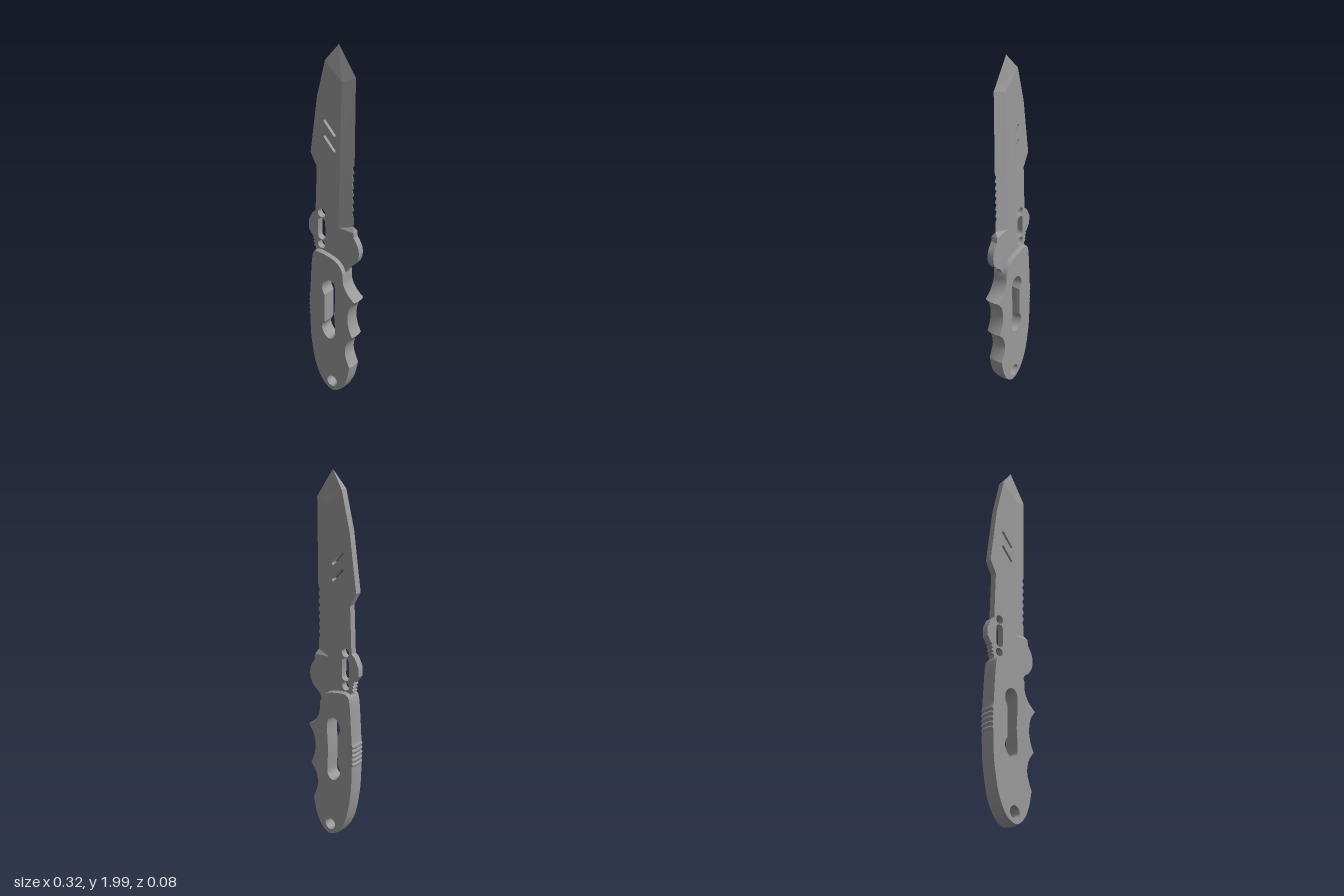
import * as THREE from 'three';
import { toCreasedNormals } from 'three/addons/utils/BufferGeometryUtils.js';

const T = 0.018; // half thickness of the blade
const material = new THREE.MeshStandardMaterial({ color: 0x9a9a9a });
const vec = (points) => points.map(([x, y]) => new THREE.Vector2(x, y));
const curve = (points, n = 24) => new THREE.SplineCurve(vec(points)).getPoints(n).map((p) => [p.x, p.y]);

function addMesh(group, name, geometry) {
  const mesh = new THREE.Mesh(geometry, material);
  mesh.name = name;
  group.add(mesh);
}

function circle(x, y, r) {
  return new THREE.Path().absarc(x, y, r, 0, Math.PI * 2, true);
}

// Rounded slot between two points
function slot(x1, y1, x2, y2, r) {
  const a = Math.atan2(y2 - y1, x2 - x1);
  return new THREE.Path()
    .absarc(x1, y1, r, a + Math.PI / 2, a + Math.PI * 1.5, false)
    .absarc(x2, y2, r, a - Math.PI / 2, a + Math.PI / 2, false);
}

// Row of small grip teeth running from one point to another
function teeth(x1, y1, x2, y2, count, depth) {
  const points = [];
  for (let i = 0; i < count; i++) {
    for (const [f, d] of [[0, 0], [0.3, 1], [0.6, 1], [0.9, 0]]) {
      const t = (i + f) / count;
      points.push([x1 + (x2 - x1) * t - d * depth, y1 + (y2 - y1) * t]);
    }
  }
  return points;
}

// Flat part of the blade with its shoulder and tang
function bladeBody() {
  const shape = new THREE.Shape(vec([
    [-0.05, 1.91], [-0.1, 1.71], [-0.143, 1.4], [-0.105, 1.33], [-0.115, 1.075],
    [-0.135, 1.06], [-0.16, 1.01], [-0.16, 0.96], [-0.135, 0.925],
    ...teeth(-0.125, 0.92, -0.115, 0.86, 3, 0.009),
    [-0.1, 0.72], [0.06, 0.72],
    ...curve([[0.08, 0.775], [0.1, 0.812], [0.13, 0.835], [0.153, 0.87], [0.16, 0.91], [0.152, 0.95], [0.127, 0.99]], 20),
    [0.124, 1.02], [0.03, 1.02], [0.03, 1.025], [0.05, 1.82],
  ]));
  shape.holes.push(
    slot(-0.053, 1.593, 0.005, 1.53, 0.008),
    slot(-0.053, 1.508, 0.005, 1.445, 0.008),
    circle(-0.076, 1.073, 0.024),
    slot(-0.076, 1.022, -0.076, 0.942, 0.023),
    circle(-0.078, 0.89, 0.023),
  );
  const geometry = new THREE.ExtrudeGeometry(shape, { depth: 2 * T, bevelEnabled: false, curveSegments: 12 });
  return toCreasedNormals(geometry.translate(0, 0, -T), 0.5);
}

// Ground wedge: rows of inner point, outer point and outer half thickness
function bladeEdge() {
  const rows = [[0.03, 1.02, 0.124, 1.02, T], [0.03, 1.025, 0.114, 1.045, 0]];
  const addRow = (y, notch) => {
    const f = (y - 1.045) / (1.85 - 1.045);
    rows.push([0.03 + 0.02 * f, 1.025 + 0.795 * f, 0.114 + 0.006 * f - notch, y, (T * notch) / 0.08]);
  };
  const count = 7, steps = 8;
  for (let i = 0; i <= count * steps; i++) {
    addRow(1.1 + (0.29 * i) / (count * steps), 0.006 * (1 - Math.cos((2 * Math.PI * i) / steps)));
  }
  addRow(1.85, 0);
  rows.push([-0.05, 1.91, 0.02, 2, 0]);

  const positions = [];
  const quad = (a, b, c, d) => positions.push(...a, ...b, ...c, ...a, ...c, ...d);
  const corners = ([ix, iy, ox, oy, t]) => [[ix, iy, T], [ox, oy, t], [ox, oy, -t], [ix, iy, -T]];
  for (let i = 0; i < rows.length - 1; i++) {
    const a = corners(rows[i]), b = corners(rows[i + 1]);
    for (let k = 0; k < 3; k++) quad(a[k], a[k + 1], b[k + 1], b[k]);
  }
  quad(...corners(rows[rows.length - 1])); // spine of the tip
  const geometry = new THREE.BufferGeometry();
  geometry.setAttribute('position', new THREE.Float32BufferAttribute(positions, 3));
  geometry.computeVertexNormals();
  return geometry;
}

// Handle outline with finger grooves, keyhole slot and lanyard hole
function handleShape() {
  const shape = new THREE.Shape(vec([
    ...curve([[0.08, 0.74], [0.086, 0.705], [0.112, 0.66], [0.157, 0.622]], 10),
    ...curve([[0.157, 0.622], [0.124, 0.575], [0.112, 0.51], [0.121, 0.45], [0.143, 0.4]], 14).slice(1),
    ...curve([[0.143, 0.4], [0.108, 0.35], [0.096, 0.29], [0.109, 0.24], [0.126, 0.2]], 14).slice(1),
    ...curve([[0.126, 0.2], [0.106, 0.11], [0.069, 0.04], [0.012, 0.006], [-0.053, 0.04],
      [-0.105, 0.135], [-0.135, 0.28], [-0.143, 0.39], [-0.144, 0.44]], 32).slice(1),
    ...teeth(-0.144, 0.58, -0.144, 0.45, 5, 0.005).reverse(),
    ...curve([[-0.142, 0.6], [-0.134, 0.73], [-0.126, 0.815], [-0.112, 0.85], [-0.07, 0.859],
      [0.015, 0.841], [0.06, 0.81], [0.08, 0.77]], 28),
  ].reverse()));
  shape.holes.push(
    new THREE.Path(vec([
      ...curve([[-0.038, 0.605], [-0.054, 0.64], [-0.043, 0.682], [-0.012, 0.7], [0.014, 0.688], [0.022, 0.65], [0.022, 0.61]]),
      ...curve([[0.015, 0.5], [0.021, 0.41], [0.018, 0.365], [-0.012, 0.345], [-0.04, 0.362], [-0.056, 0.4], [-0.04, 0.435]]),
    ])),
    circle(0.006, 0.07, 0.028),
  );
  return shape;
}

// Solid grip whose sides draw in slightly towards both faces
function handleGrip() {
  const half = 0.041, draft = 0.022, inset = 0.005;
  const geometry = new THREE.ExtrudeGeometry(handleShape(), {
    depth: 2 * (half - draft), bevelThickness: draft, bevelSize: inset,
    bevelOffset: -inset, bevelSegments: 1, curveSegments: 12,
  });
  return toCreasedNormals(geometry.translate(0, 0, draft - half), 0.5);
}

export function createModel() {
  const model = new THREE.Group();
  model.name = 'foldingKnife';

  const blade = new THREE.Group();
  blade.name = 'blade';
  addMesh(blade, 'bladeBody', bladeBody());
  addMesh(blade, 'serratedEdge', bladeEdge());

  model.add(blade);
  addMesh(model, 'handle', handleGrip());
  return model;
}
